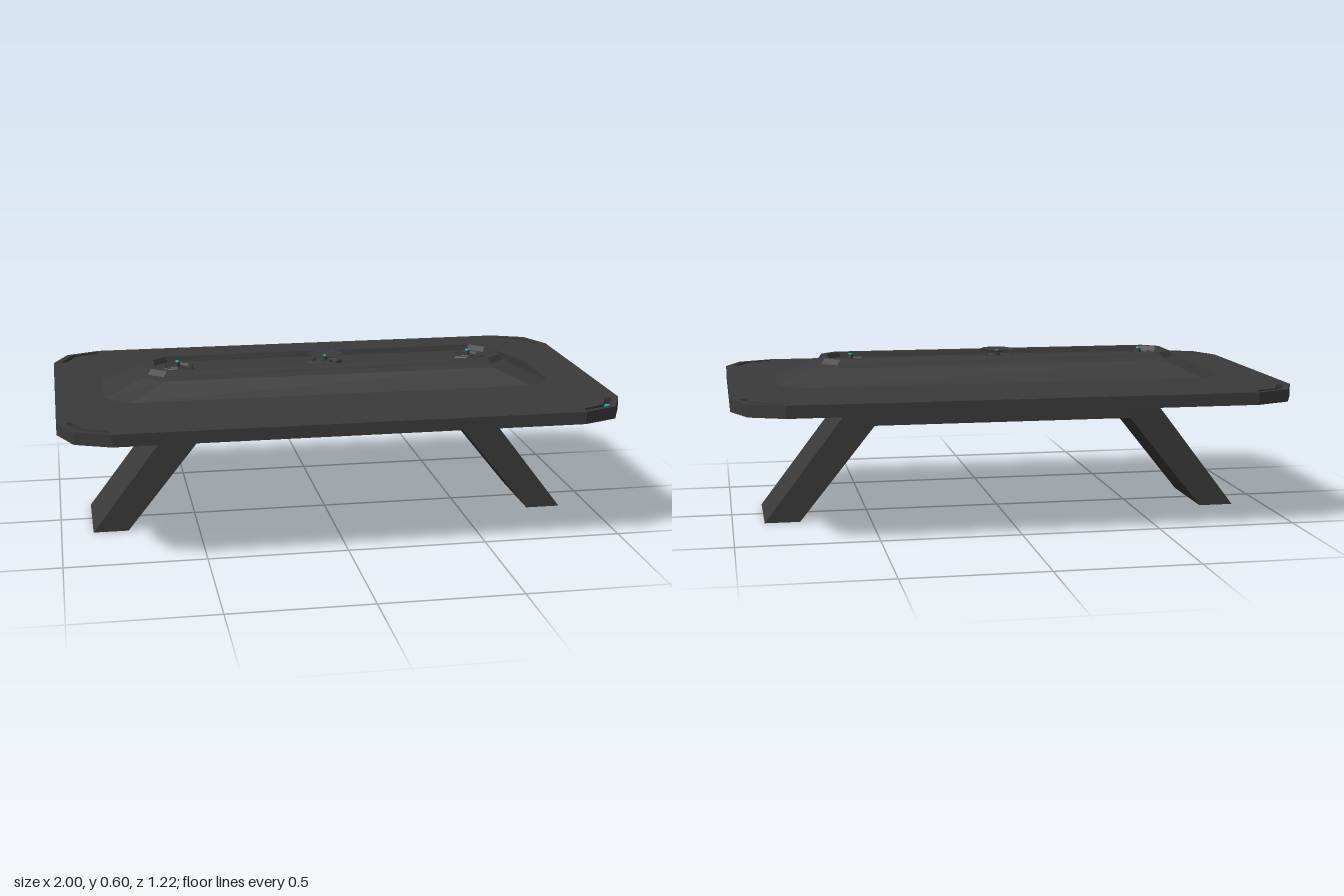
import * as THREE from 'three';

const mat = (color, side = THREE.FrontSide) =>
  new THREE.MeshStandardMaterial({ color, flatShading: true, side });

// Mirrors one quadrant of an outline (from the x side to the z side) into a closed ring
function ring(quad, y) {
  const rev = [...quad].reverse();
  return [
    ...quad.map(([x, z]) => [x, y, -z]),
    ...rev.map(([x, z]) => [-x, y, -z]),
    ...quad.map(([x, z]) => [-x, y, z]),
    ...rev.map(([x, z]) => [x, y, z]),
  ];
}

// Skins a stack of rings and caps both ends
function loft(rings) {
  const pos = [];
  const n = rings[0].length;
  const tri = (a, b, c) => pos.push(...a, ...b, ...c);
  for (let r = 0; r < rings.length - 1; r++) {
    const a = rings[r], b = rings[r + 1];
    for (let i = 0; i < n; i++) {
      const j = (i + 1) % n;
      tri(a[i], a[j], b[j]);
      tri(a[i], b[j], b[i]);
    }
  }
  const bottom = rings[0], top = rings[rings.length - 1];
  for (let i = 0; i < n; i++) {
    const j = (i + 1) % n;
    tri([0, bottom[0][1], 0], bottom[j], bottom[i]);
    tri([0, top[0][1], 0], top[i], top[j]);
  }
  const geo = new THREE.BufferGeometry();
  geo.setAttribute('position', new THREE.Float32BufferAttribute(pos, 3));
  geo.computeVertexNormals();
  return geo;
}

// Rectangle with cut corners
const octagon = (x, z, cx, cz, y) => ring([[x, z - cz], [x - cx, z]], y);

const points = (list) => list.map(([x, y]) => new THREE.Vector2(x, y));

// Plan outline of a ring, and a flat slab extruded upward from a plan shape
const plan = (quad) => points(ring(quad, 0).map(([x, , z]) => [x, -z]));
function slab(shape, y0, y1) {
  const geo = new THREE.ExtrudeGeometry(shape, { depth: y1 - y0, bevelEnabled: false });
  return geo.rotateX(-Math.PI / 2).translate(0, y0, 0);
}

export function createModel() {
  const model = new THREE.Group();
  const dark = mat(0x3a3a3a);
  const darkThin = mat(0x3a3a3a, THREE.DoubleSide);
  const cyan = mat(0x35a0b5);

  const add = (name, geo, material, parent = model) => {
    const mesh = new THREE.Mesh(geo, material);
    mesh.name = name;
    parent.add(mesh);
    return mesh;
  };

  // Bent corner slots that follow the table edge
  const slot = [
    [0.972, 0.437], [0.927, 0.541], [0.828, 0.586],
    [0.828, 0.563], [0.91, 0.525], [0.947, 0.437],
  ];
  const slots = [];
  for (const sx of [1, -1]) for (const sy of [1, -1])
    slots.push(points(slot.map(([x, y]) => [sx * x, sy * y])));

  // Table top: a deep rim with slots around a thin plate, hollow underneath
  const edge = [[1, 0.43], [0.945, 0.557], [0.82, 0.61]];
  const inset = [[0.94, 0.41], [0.9, 0.515], [0.8, 0.555]];
  const rim = new THREE.Shape(plan(edge));
  rim.holes = [plan(inset), ...slots].map((p) => new THREE.Path(p));
  add('tableRim', slab(rim, 0.456, 0.5), dark);
  add('tablePlate', slab(new THREE.Shape(plan(inset)), 0.49, 0.5), dark);

  // Glowing strips sunk in the slots, on dark slot floors
  for (const s of slots) {
    add('slotFloor', slab(new THREE.Shape(s), 0.456, 0.464), dark);
    add('cornerLight', slab(new THREE.Shape(s), 0.464, 0.476), cyan);
  }

  // Small tab under one front corner
  add('undersideTab', new THREE.BoxGeometry(0.035, 0.02, 0.09), dark)
    .position.set(-0.917, 0.462, 0.465);

  // Bent frame with two splayed legs
  const profile = new THREE.Shape(points([
    [-0.885, 0], [-0.757, 0], [-0.48, 0.346], [0.48, 0.346],
    [0.757, 0], [0.885, 0], [0.509, 0.495], [-0.509, 0.495],
  ]));
  const legGeo = new THREE.ExtrudeGeometry(profile, { depth: 0.32, bevelEnabled: false });
  add('legFrame', legGeo.translate(0, 0, -0.16), dark);

  // Raised console with a sunken tray, let into the plate
  add('console', loft([
    octagon(0.825, 0.222, 0.09, 0.08, 0.489),
    octagon(0.825, 0.222, 0.09, 0.08, 0.5),
    octagon(0.69, 0.163, 0.08, 0.06, 0.559),
    octagon(0.665, 0.131, 0.055, 0.05, 0.567),
    octagon(0.652, 0.122, 0.055, 0.05, 0.586),
    octagon(0.635, 0.105, 0.05, 0.045, 0.586),
    octagon(0.628, 0.1, 0.05, 0.045, 0.566),
  ]), dark);

  // Three hexagonal emitters in the tray; the middle one carries a shallow dish
  const pod = points([
    [0.068, 0], [0.062, 0.009], [0.052, 0.01], [0.042, 0.002],
    [0.03, 0.002], [0.026, 0.008], [0.011, 0.008], [0.009, 0.024], [0, 0.024],
  ]);
  const dish = points([[0.01, 0.026], [0.045, 0.027], [0.056, 0.029], [0.069, 0.033]]);
  for (const x of [-0.55, 0, 0.55]) {
    const emitter = new THREE.Group();
    emitter.name = 'emitter';
    emitter.position.set(x, 0.566, 0);
    add('emitterPod', new THREE.LatheGeometry(pod, 6), darkThin, emitter);
    add('emitterTip', new THREE.CylinderGeometry(0.007, 0.009, 0.005, 6), cyan, emitter)
      .position.y = 0.026;
    if (x === 0) {
      emitter.rotation.y = Math.PI / 6;
      add('emitterDish', new THREE.LatheGeometry(dish, 6), darkThin, emitter);
    }
    model.add(emitter);
  }

  return model;
}
